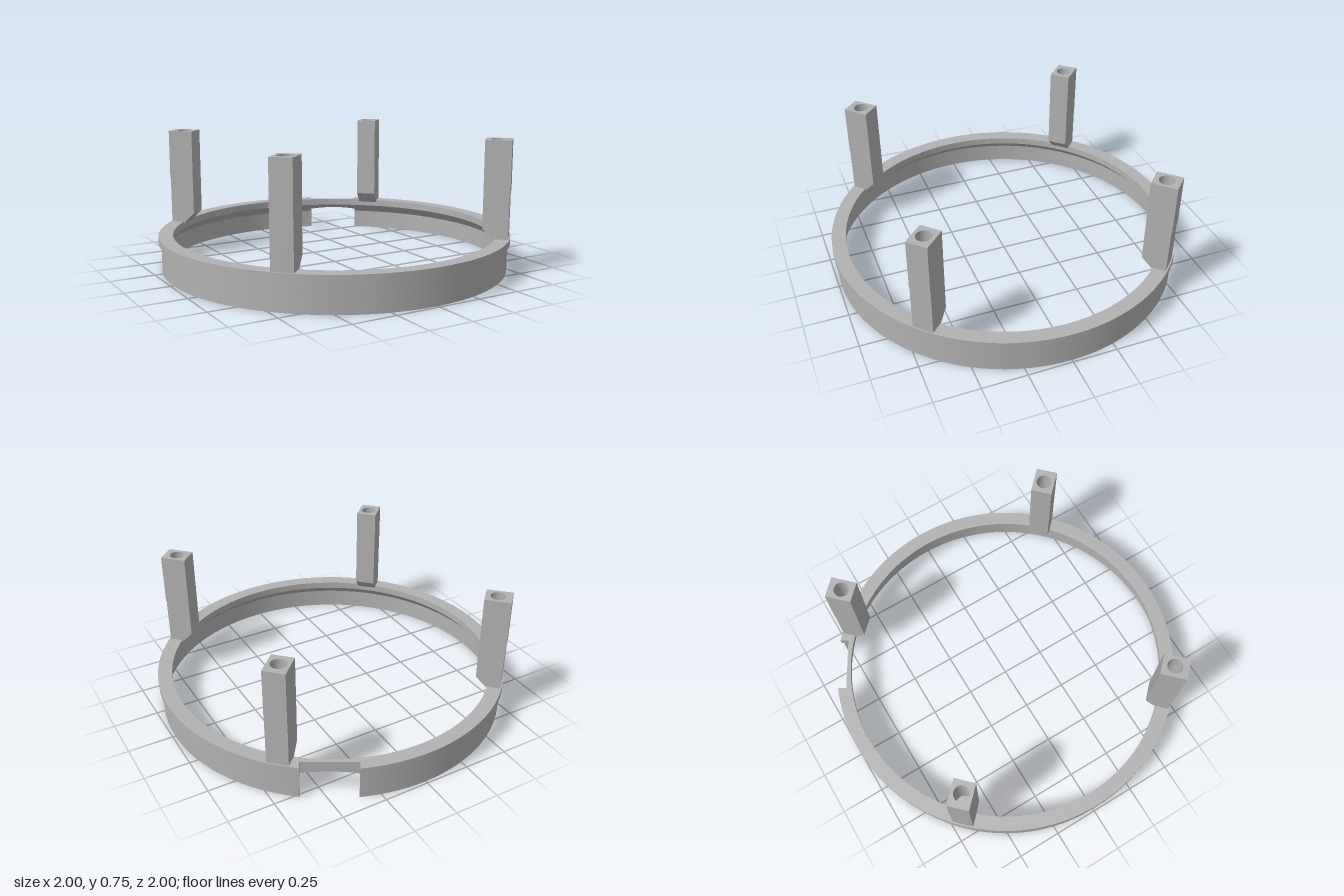
import * as THREE from 'three';

const GAP_ANGLE = Math.PI / 6;   // centre of the notch, measured from the back towards +x
const GAP_HALF = 0.15;           // half width of the notch
const GAP_DEPTH = 0.941;         // distance of the notch floor from the axis
const INNER = 0.92;
const TOP = 0.2;

// Sweeps a closed clockwise section around the axis; section(t) returns [angle, radius, y] points.
function sweep(section, steps, capped) {
  const rows = [];
  for (let s = 0; s <= steps; s++) {
    rows.push(section(s / steps).map(([a, r, y]) => [r * Math.sin(a), y, -r * Math.cos(a)]));
  }
  const n = rows[0].length;
  const pos = [], index = [];
  // one separate strip per section edge keeps the edges sharp
  for (let i = 0; i < n; i++) {
    const base = pos.length / 3;
    rows.forEach((row, s) => {
      pos.push(...row[i], ...row[(i + 1) % n]);
      if (s === steps) return;
      const a = base + 2 * s, b = a + 1, d = a + 2, c = a + 3;
      index.push(a, d, b, b, d, c);
    });
  }
  if (capped) {
    const contour = section(0).map(([, r, y]) => new THREE.Vector2(r, y)).reverse();
    const faces = THREE.ShapeUtils.triangulateShape(contour, []);
    [rows[0], rows[steps]].forEach((row, end) => {
      const base = pos.length / 3;
      [...row].reverse().forEach((p) => pos.push(...p));
      faces.forEach(([a, b, c]) =>
        index.push(base + a, base + (end ? b : c), base + (end ? c : b)));
    });
  }
  const geo = new THREE.BufferGeometry();
  geo.setAttribute('position', new THREE.Float32BufferAttribute(pos, 3));
  geo.setIndex(index);
  geo.computeVertexNormals();
  return geo;
}

function polygon(points) {
  return new THREE.Shape(points.map(([x, y]) => new THREE.Vector2(x, y)));
}

export function createModel() {
  const model = new THREE.Group();
  model.name = 'ringWithPosts';
  const grey = new THREE.MeshStandardMaterial({ color: 0xb2b2b2 });
  grey.name = 'plainGrey';

  const add = (parent, geo, name) => {
    const mesh = new THREE.Mesh(geo, grey);
    mesh.name = name;
    parent.add(mesh);
  };

  // Ring: thin skirt, overhanging rim and sloped inner ledge, ending at the notch
  const profile = [
    [INNER, TOP], [1, TOP], [1, 0.16], [0.985, 0.16],
    [0.985, 0], [0.97, 0], [0.97, 0.11], [INNER, 0.16],
  ];
  add(model, sweep((t) => profile.map(([r, y]) => {
    const half = Math.asin(GAP_HALF / r);
    return [GAP_ANGLE + half + t * 2 * (Math.PI - half), r, y];
  }), 144, true), 'ring');

  // Bridge: the sliver of rim left behind the notch
  const bridgeHalf = Math.atan(GAP_HALF / GAP_DEPTH);
  add(model, sweep((t) => {
    const off = (t * 2 - 1) * bridgeHalf * 1.04;
    const a = GAP_ANGLE + off;
    const r = GAP_DEPTH / Math.cos(off);
    return [[a, INNER, TOP], [a, r, TOP], [a, r, 0.16 - (r - INNER)], [a, INNER, 0.16]];
  }, 12, false), 'bridge');

  // Posts: solid foot with a sloped inner underside, and an upper block with a blind hole
  const halfWidth = 0.059, seam = 0.46, height = 0.745;
  const foot = new THREE.ExtrudeGeometry(polygon([
    [0.925, 0.181], [0.991, 0.181], [0.992, seam], [0.851, seam], [0.851, 0.255],
  ]), { depth: 2 * halfWidth, bevelEnabled: false });
  foot.translate(0, 0, -halfWidth);

  const blockShape = polygon([
    [0.851, -halfWidth], [0.995, -halfWidth], [0.995, halfWidth], [0.851, halfWidth],
  ]);
  const hole = new THREE.Path();
  hole.absarc(0.92, 0, 0.042, 0, Math.PI * 2, true);
  blockShape.holes.push(hole);
  const block = new THREE.ExtrudeGeometry(blockShape, {
    depth: height - seam, bevelEnabled: false, curveSegments: 32,
  });
  block.rotateX(-Math.PI / 2).translate(0, seam, 0);

  ['backLeft', 'backRight', 'frontRight', 'frontLeft'].forEach((place, i) => {
    const post = new THREE.Group();
    post.name = place + 'Post';
    add(post, foot, 'postFoot');
    add(post, block, 'postBlock');
    post.rotation.y = Math.PI / 4 + i * Math.PI / 2;
    model.add(post);
  });

  return model;
}
